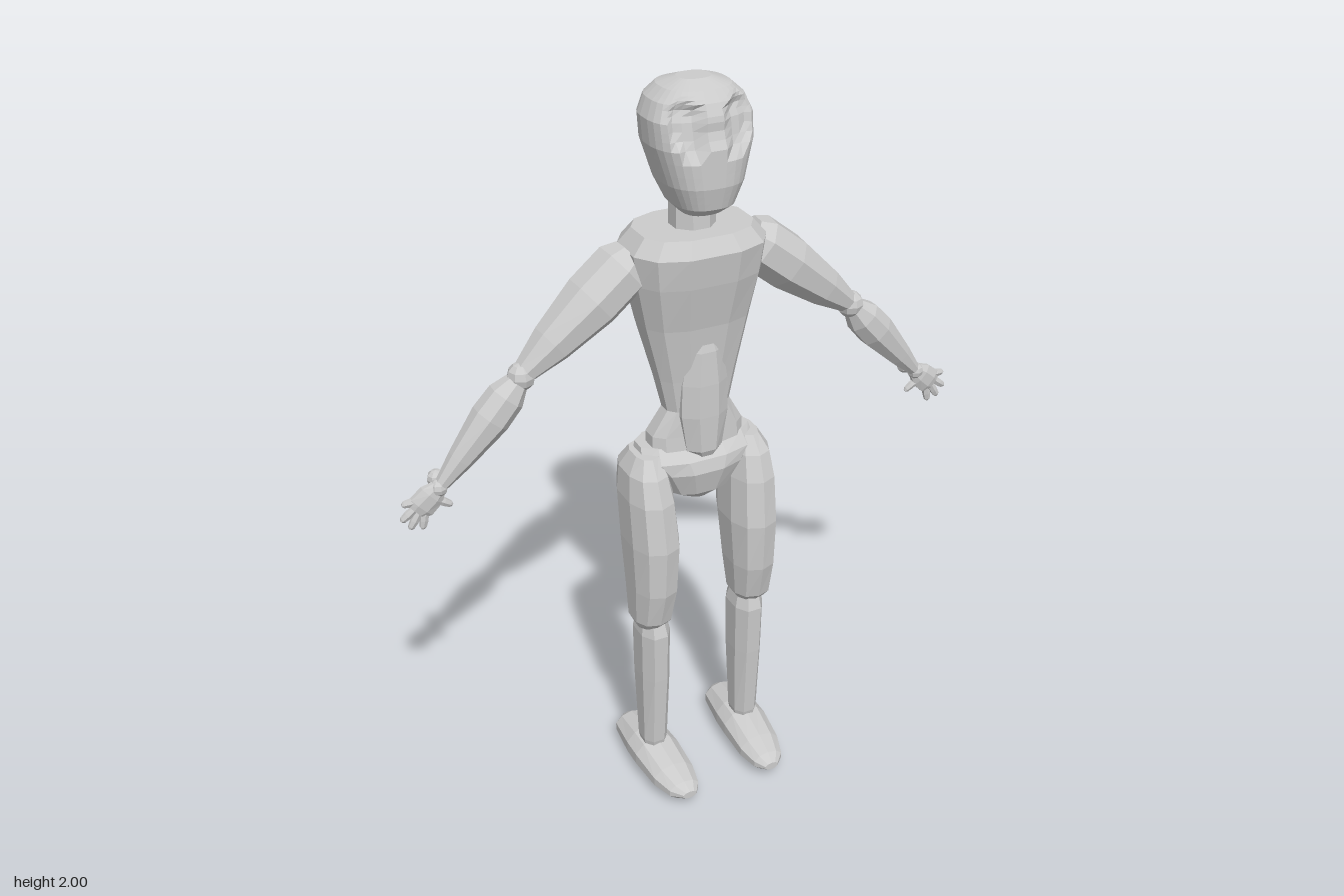
import * as THREE from 'three';

const grey = new THREE.MeshStandardMaterial({ color: 0xcccccc, flatShading: true });
const UP = new THREE.Vector3(0, 1, 0);

// Stacked cross-sections, rising in y: [y, centre x, half width, back z, front z].
// power < 1 squares the section off, 1 is round.
function loft(rings, sides = 8, power = 1) {
  const section = [];
  for (let j = 0; j < sides; j++) {
    const a = ((j + 0.5) / sides) * Math.PI * 2;
    const c = Math.cos(a), s = Math.sin(a);
    section.push([Math.sign(c) * Math.abs(c) ** power, Math.sign(s) * Math.abs(s) ** power]);
  }
  const mx = Math.max(...section.map((p) => p[0]));
  const mz = Math.max(...section.map((p) => p[1]));
  const pos = [], index = [];
  for (const [y, cx, hx, z0, z1] of rings) {
    for (const [u, v] of section) {
      pos.push(cx + (u / mx) * hx, y, (z0 + z1) / 2 + ((v / mz) * (z1 - z0)) / 2);
    }
  }
  const last = rings.length - 1;
  for (const r of [rings[0], rings[last]]) pos.push(r[1], r[0], (r[3] + r[4]) / 2);
  const bottom = rings.length * sides, top = bottom + 1;
  for (let j = 0; j < sides; j++) {
    const k = (j + 1) % sides;
    for (let i = 0; i < last; i++) {
      const a = i * sides + j, b = i * sides + k;
      index.push(a, a + sides, b, b, a + sides, b + sides);
    }
    index.push(bottom, j, k, top, last * sides + k, last * sides + j);
  }
  const g = new THREE.BufferGeometry();
  g.setAttribute('position', new THREE.Float32BufferAttribute(pos, 3));
  g.setIndex(index);
  g.computeVertexNormals();
  return g;
}

function add(parent, name, geometry) {
  const mesh = new THREE.Mesh(geometry, grey);
  mesh.name = name;
  parent.add(mesh);
  return mesh;
}

// Tapered piece between two points; profile rows are [fraction, half width, half depth].
function limb(parent, name, from, to, profile, sides = 8) {
  const a = new THREE.Vector3(...from), d = new THREE.Vector3(...to).sub(a);
  const len = d.length();
  const mesh = add(parent, name, loft(profile.map(([t, w, h]) => [t * len, 0, w, -h, h]), sides));
  mesh.position.copy(a);
  mesh.quaternion.setFromUnitVectors(UP, d.normalize());
  return mesh;
}

function ball(parent, name, r, x, y, z) {
  add(parent, name, new THREE.SphereGeometry(r, 8, 6)).position.set(x, y, z);
}

// Split each span of a ring list so the surface can be dented.
function refine(rings, n) {
  const out = [];
  for (let i = 0; i < rings.length - 1; i++) {
    for (let k = 0; k < n; k++) out.push(rings[i].map((v, c) => v + ((rings[i + 1][c] - v) * k) / n));
  }
  out.push(rings[rings.length - 1]);
  return out;
}

function buildHead(parent) {
  const g = loft(refine([
    [1.69, 0, 0.05, -0.07, 0.045],
    [1.715, 0, 0.075, -0.105, 0.08],
    [1.77, 0, 0.1, -0.13, 0.093],
    [1.86, 0, 0.127, -0.148, 0.093],
    [1.92, 0, 0.13, -0.148, 0.08],
    [1.96, 0, 0.113, -0.14, 0.06],
    [1.985, 0, 0.085, -0.12, 0.04],
    [2.0, 0, 0.04, -0.075, -0.005],
  ], 3), 32, 0.78);
  // Hollow eye sockets, leaning outwards at the top
  const p = g.attributes.position;
  for (let i = 0; i < p.count; i++) {
    const x = Math.abs(p.getX(i)), y = p.getY(i) - 1.905, z = p.getZ(i);
    const d = Math.hypot((x - 0.062 - y * 0.12) / 0.046, y / 0.067);
    if (z > 0 && d < 1) p.setZ(i, z - 0.025 * Math.min(1, (1 - d) * 3));
  }
  g.computeVertexNormals();
  add(parent, 'head', g);
}

function buildArm(root, s) {
  const arm = new THREE.Group();
  arm.name = s > 0 ? 'leftArm' : 'rightArm';
  root.add(arm);
  limb(arm, 'upperArm', [s * 0.155, 1.575, -0.06], [s * 0.45, 1.342, -0.045], [
    [0, 0.05, 0.05], [0.1, 0.068, 0.07], [0.38, 0.068, 0.07], [0.75, 0.05, 0.05], [1, 0.028, 0.03],
  ]);
  ball(arm, 'elbow', 0.036, s * 0.46, 1.333, -0.043);
  limb(arm, 'forearm', [s * 0.472, 1.32, -0.043], [s * 0.68, 1.09, -0.043], [
    [0, 0.028, 0.028], [0.14, 0.045, 0.04], [0.35, 0.047, 0.042], [0.75, 0.031, 0.027], [1, 0.017, 0.016],
  ]);
  // Wrist with a small knob behind it
  ball(arm, 'wrist', 0.023, s * 0.687, 1.083, -0.045);
  ball(arm, 'wristKnob', 0.024, s * 0.68, 1.085, -0.085);
  limb(arm, 'palm', [s * 0.685, 1.085, -0.045], [s * 0.748, 1.03, -0.045], [
    [0, 0.02, 0.012], [0.35, 0.034, 0.016], [0.8, 0.036, 0.014], [1, 0.026, 0.009],
  ]);
  const fingers = [
    [0.735, 1.06, 0.782, 1.058], [0.745, 1.045, 0.788, 1.013], [0.738, 1.035, 0.768, 0.986],
    [0.725, 1.035, 0.737, 0.978], [0.708, 1.06, 0.658, 1.026],
  ];
  fingers.forEach(([x0, y0, x1, y1], i) => {
    limb(arm, i < 4 ? 'finger' : 'thumb', [s * x0, y0, -0.045], [s * x1, y1, -0.045],
      [[0, 0.009, 0.009], [0.6, 0.01, 0.009], [0.9, 0.008, 0.007], [1, 0.004, 0.004]], 6);
  });
}

function buildLeg(root, s) {
  const leg = new THREE.Group();
  leg.name = s > 0 ? 'leftLeg' : 'rightLeg';
  root.add(leg);
  add(leg, 'thigh', loft([
    [0.53, s * 0.152, 0.04, -0.05, 0.035],
    [0.555, s * 0.15, 0.053, -0.078, 0.058],
    [0.66, s * 0.146, 0.06, -0.1, 0.084],
    [0.8, s * 0.144, 0.066, -0.125, 0.092],
    [0.93, s * 0.147, 0.062, -0.142, 0.075],
    [1.0, s * 0.148, 0.053, -0.135, 0.05],
    [1.045, s * 0.145, 0.03, -0.1, 0.015],
  ], 10, 0.85));
  add(leg, 'shin', loft([
    [0.09, s * 0.145, 0.03, -0.055, 0.015],
    [0.12, s * 0.145, 0.035, -0.063, 0.022],
    [0.35, s * 0.144, 0.041, -0.08, 0.04],
    [0.5, s * 0.144, 0.042, -0.082, 0.046],
    [0.56, s * 0.146, 0.032, -0.06, 0.03],
  ], 8, 0.85));
  // Foot runs heel to toe; its sections give the sole and top as z before turning
  const foot = loft([
    [-0.19, s * 0.148, 0.025, -0.07, -0.03],
    [-0.165, s * 0.148, 0.05, -0.09, -0.012],
    [-0.06, s * 0.145, 0.064, -0.113, -0.005],
    [0.0, s * 0.143, 0.066, -0.114, -0.005],
    [0.1, s * 0.138, 0.06, -0.092, -0.009],
    [0.16, s * 0.134, 0.044, -0.075, -0.02],
    [0.19, s * 0.13, 0.02, -0.06, -0.037],
  ], 10);
  add(leg, 'foot', foot.rotateX(Math.PI / 2));
}

export function createModel() {
  const root = new THREE.Group();
  root.name = 'figure';
  buildHead(root);
  add(root, 'neck', loft([[1.6, 0, 0.055, -0.1, 0.005], [1.72, 0, 0.052, -0.1, 0]], 8));

  add(root, 'torso', loft([
    [1.03, 0, 0.13, -0.1, 0.02],
    [1.09, 0, 0.128, -0.1, 0.015],
    [1.16, 0, 0.088, -0.082, 0.015],
    [1.25, 0, 0.107, -0.1, 0.025],
    [1.4, 0, 0.143, -0.14, 0.045],
    [1.52, 0, 0.168, -0.166, 0.072],
    [1.6, 0, 0.178, -0.183, 0.084],
    [1.64, 0, 0.145, -0.155, 0.06],
  ], 12, 0.75));

  // Long oval plate on the stomach
  add(root, 'bellyPlate', loft([
    [1.02, 0, 0.028, -0.04, 0.03],
    [1.05, 0, 0.05, -0.04, 0.044],
    [1.15, 0, 0.065, -0.04, 0.047],
    [1.24, 0, 0.063, -0.04, 0.047],
    [1.33, 0, 0.048, -0.02, 0.043],
    [1.37, 0, 0.026, 0, 0.034],
  ], 8));

  add(root, 'pelvis', loft([
    [0.89, 0, 0.025, -0.05, 0.0],
    [0.92, 0, 0.085, -0.09, 0.03],
    [0.99, 0, 0.13, -0.115, 0.05],
    [1.025, 0, 0.162, -0.125, 0.042],
    [1.06, 0, 0.155, -0.122, 0.01],
  ], 12, 0.85));

  for (const s of [1, -1]) {
    buildArm(root, s);
    buildLeg(root, s);
  }
  return root;
}
